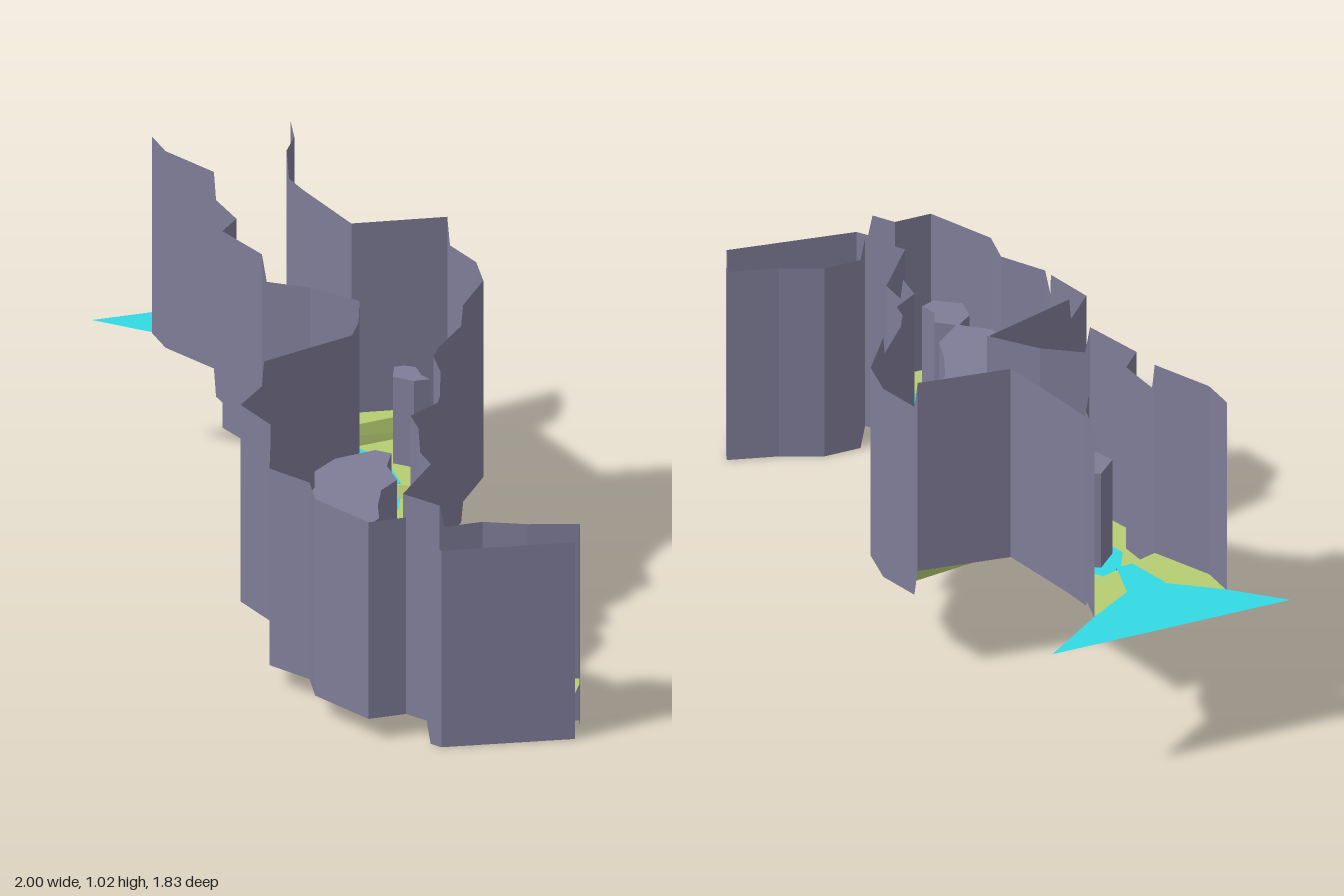
import * as THREE from 'three';

const material = (color) =>
  new THREE.MeshStandardMaterial({ color, flatShading: true, side: THREE.DoubleSide });
const STONE = material(0x7f7d98);
const GRASS = material(0xb6cd72);
const WATER = material(0x32dae4);

// Bottom of the canyon wall on each terrace, from the highest to the lowest
const BASE = [0.425, 0.345, 0.263, 0.205, 0.135, 0.067, 0];
const WALL_HEIGHT = 0.6;
// The floor starts level with the wall bottoms and falls less steeply than they do
const floorY = (level) => BASE[level] + 0.0215 * level;

// Canyon edges, one list of [x, z] per terrace; lists meet at the steps
const FRONT_EDGE = [
  [[-0.815, -0.42], [-0.74, -0.35], [-0.56, -0.285]],
  [[-0.56, -0.285], [-0.445, -0.19], [-0.445, -0.1], [-0.28, -0.01]],
  [[-0.28, -0.01], [-0.14, -0.03], [0.02, -0.01]],
  [[0.02, -0.01], [0.045, 0.09], [-0.1, 0.35]],
  [[-0.1, 0.35], [-0.1, 0.5], [0.03, 0.58]],
  [[0.03, 0.58], [0.09, 0.71], [0.23, 0.745], [0.29, 0.835], [0.49, 0.91], [0.57, 0.835], [0.64, 0.85]],
  [[0.64, 0.85], [0.69, 0.86], [1, 0.65], [0.99, 0.63]],
];
const BACK_EDGE = [
  [[-0.515, -0.68], [-0.46, -0.59], [-0.44, -0.5]],
  [[-0.44, -0.5], [-0.36, -0.44], [-0.145, -0.3], [0.075, -0.455]],
  [[0.075, -0.455], [0.2, -0.38], [0.27, -0.28], [0.29, -0.11]],
  [[0.29, -0.11], [0.295, 0.06], [0.31, 0.12], [0.37, 0.2]],
  [[0.37, 0.2], [0.385, 0.25], [0.355, 0.36], [0.41, 0.425]],
  [[0.41, 0.425], [0.48, 0.49], [0.495, 0.7], [0.62, 0.725]],
  [[0.62, 0.725], [0.71, 0.64], [0.83, 0.6], [0.96, 0.535], [0.975, 0.57]],
];
// River centre line per terrace: [x, z, half width]
const RIVER = [
  [[-0.6, -0.48, 0.06], [-0.505, -0.385, 0.025]],
  [[-0.505, -0.385, 0.025], [-0.45, -0.34, 0.03], [-0.4, -0.285, 0.08], [-0.33, -0.26, 0.09],
    [-0.27, -0.23, 0.04], [-0.2, -0.21, 0.025], [-0.13, -0.205, 0.025]],
  [[-0.13, -0.205, 0.025], [-0.06, -0.18, 0.022], [0.04, -0.12, 0.022], [0.105, -0.045, 0.022]],
  [[0.105, -0.045, 0.022], [0.14, 0.04, 0.022], [0.12, 0.11, 0.022], [0.06, 0.21, 0.022], [0.035, 0.285, 0.024]],
  [[0.035, 0.285, 0.024], [0.01, 0.38, 0.045], [0.015, 0.45, 0.058], [0.05, 0.52, 0.045], [0.085, 0.555, 0.03]],
  [[0.085, 0.555, 0.03], [0.12, 0.63, 0.024], [0.18, 0.69, 0.022], [0.28, 0.725, 0.02], [0.37, 0.7, 0.02],
    [0.45, 0.7, 0.02], [0.53, 0.77, 0.024], [0.635, 0.78, 0.026]],
  [[0.635, 0.78, 0.026], [0.72, 0.745, 0.038], [0.97, 0.61, 0.045]],
];
const LAKE = [[-1, -0.42], [-0.47, -0.915], [-0.515, -0.68], [-0.56, -0.51], [-0.53, -0.43], [-0.57, -0.4], [-0.64, -0.44], [-0.815, -0.42]];

// Rock columns: outline, bottom, top
const ROCKS = [
  { name: 'upperRock', y0: 0.335, y1: 0.67,
    outline: [[-0.415, -0.32], [-0.35, -0.33], [-0.295, -0.305], [-0.31, -0.235], [-0.37, -0.21], [-0.42, -0.235]] },
  { name: 'bendRock', y0: 0.295, y1: 0.57,
    outline: [[0.02, -0.23], [0.04, -0.25], [0.075, -0.255], [0.11, -0.215], [0.145, -0.2], [0.11, -0.17], [0.045, -0.17]] },
  { name: 'largePlateau', y0: 0.175, y1: 0.49,
    outline: [[0.135, 0.13], [0.185, 0.13], [0.21, 0.21], [0.275, 0.28], [0.265, 0.36], [0.3, 0.455], [0.34, 0.53],
      [0.325, 0.64], [0.22, 0.645], [0.11, 0.55], [0.09, 0.42], [0.045, 0.33], [0.06, 0.23]] },
  { name: 'pondRock', y0: 0.21, y1: 0.45,
    outline: [[-0.015, 0.4], [0.025, 0.39], [0.055, 0.43], [0.035, 0.475], [-0.005, 0.465]] },
  { name: 'lowerRock', y0: 0.165, y1: 0.44,
    outline: [[0.345, 0.72], [0.415, 0.715], [0.43, 0.765], [0.475, 0.79], [0.455, 0.83], [0.375, 0.84], [0.335, 0.785]] },
];

// Start each lower terrace a little past the step, leaving room for a steep ramp
function openSteps(groups) {
  return groups.map((group, level) => {
    if (level === 0) return group;
    const [a, b] = group;
    const t = 0.014 / Math.hypot(b[0] - a[0], b[1] - a[1]);
    return [a.map((v, i) => v + (b[i] - v) * t), ...group.slice(1)];
  });
}

// Quad strip between two rows of [x, y, z]
function strip(rowA, rowB) {
  const index = [];
  for (let i = 0; i + 1 < rowA.length; i++) {
    const a = i * 2;
    index.push(a, a + 1, a + 2, a + 1, a + 3, a + 2);
  }
  const geometry = new THREE.BufferGeometry();
  const points = rowA.flatMap((p, i) => [...p, ...rowB[i]]);
  geometry.setAttribute('position', new THREE.Float32BufferAttribute(points, 3));
  geometry.setIndex(index);
  geometry.computeVertexNormals();
  return geometry;
}

const outlineShape = (outline) => new THREE.Shape(outline.map(([x, z]) => new THREE.Vector2(x, -z)));

const flat = (outline, y) =>
  new THREE.ShapeGeometry(outlineShape(outline)).rotateX(-Math.PI / 2).translate(0, y, 0);

export function createModel() {
  const model = new THREE.Group();
  model.name = 'canyon';
  const add = (name, geometry, mat) => {
    const mesh = new THREE.Mesh(geometry, mat);
    mesh.name = name;
    model.add(mesh);
  };

  const front = openSteps(FRONT_EDGE);
  const back = openSteps(BACK_EDGE);

  // Canyon walls, stepping down with the terraces
  for (const [name, edge] of [['frontWall', front], ['backWall', back]]) {
    const row = (rise) => edge.flatMap((group, level) => group.map(([x, z]) => [x, BASE[level] + rise, z]));
    add(name, strip(row(WALL_HEIGHT), row(0)), STONE);
  }

  // Grassy terraces and the steep ramps between them
  front.forEach((edge, level) => {
    add('terrace', flat([...edge, ...back[level].slice().reverse()], floorY(level)), GRASS);
    if (level === front.length - 1) return;
    const side = (groups) => [
      [groups[level].at(-1), level],
      [groups[level + 1][0], level + 1],
    ].map(([[x, z], l]) => [x, floorY(l), z]);
    add('terraceRamp', strip(side(back), side(front)), GRASS);
  });

  // River ribbon following the floor, with ponds where it widens
  const course = openSteps(RIVER).flatMap((group, level) =>
    group.map(([x, z, w]) => ({ x, z, w, y: floorY(level) + 0.004 })));
  const bank = (sign) => course.map((p, i) => {
    const a = course[Math.max(i - 1, 0)];
    const b = course[Math.min(i + 1, course.length - 1)];
    const k = (sign * p.w) / Math.hypot(b.x - a.x, b.z - a.z);
    return [p.x + (b.z - a.z) * k, p.y, p.z - (b.x - a.x) * k];
  });
  add('river', strip(bank(1), bank(-1)), WATER);
  add('lake', flat(LAKE, floorY(0) + 0.003), WATER);

  // Flat-topped rocks standing in the canyon
  for (const { name, y0, y1, outline } of ROCKS) {
    const geometry = new THREE.ExtrudeGeometry(outlineShape(outline), { depth: y1 - y0, bevelEnabled: false });
    add(name, geometry.rotateX(-Math.PI / 2).translate(0, y0, 0), STONE);
  }
  return model;
}
